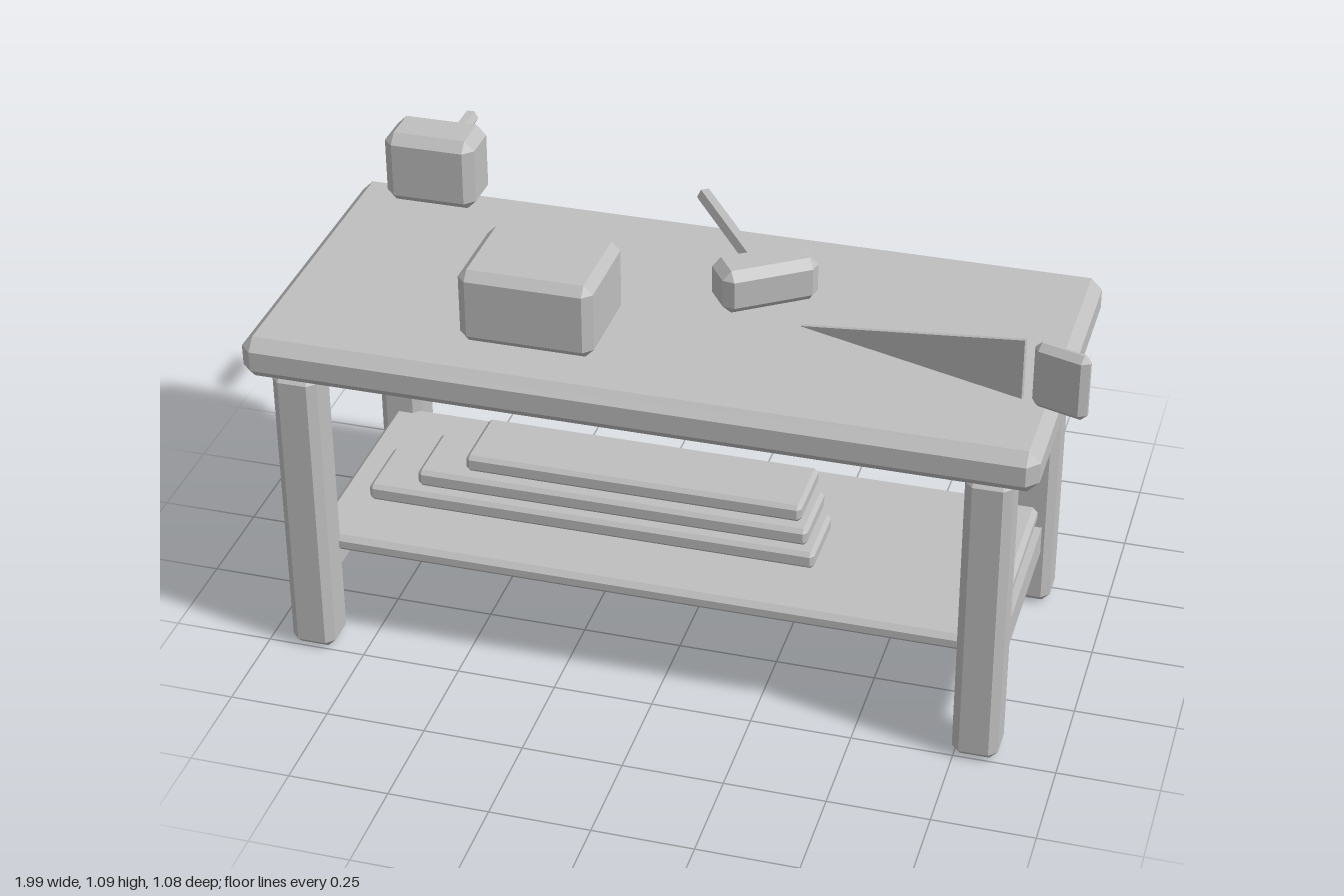
import * as THREE from 'three';
import { ConvexGeometry } from 'three/addons/geometries/ConvexGeometry.js';

const grey = new THREE.MeshStandardMaterial({ color: 0xbfbfbf });
grey.name = 'plainGrey';

function add(parent, name, geometry) {
  const mesh = new THREE.Mesh(geometry, grey);
  mesh.name = name;
  parent.add(mesh);
  return mesh;
}

// Box with chamfered edges and corners, given by its min/max on each axis
function block(parent, name, [x0, x1], [y0, y1], [z0, z1], c) {
  const h = [(x1 - x0) / 2, (y1 - y0) / 2, (z1 - z0) / 2];
  const points = [];
  for (const sx of [-1, 1]) for (const sy of [-1, 1]) for (const sz of [-1, 1])
    for (let axis = 0; axis < 3; axis++) {
      const inset = h.map((v, i) => (i === axis ? v : v - c));
      points.push(new THREE.Vector3(sx * inset[0], sy * inset[1], sz * inset[2]));
    }
  const mesh = add(parent, name, new ConvexGeometry(points));
  mesh.position.set((x0 + x1) / 2, (y0 + y1) / 2, (z0 + z1) / 2);
  return mesh;
}

function plainBox(parent, name, [x0, x1], [y0, y1], [z0, z1]) {
  const mesh = add(parent, name, new THREE.BoxGeometry(x1 - x0, y1 - y0, z1 - z0));
  mesh.position.set((x0 + x1) / 2, (y0 + y1) / 2, (z0 + z1) / 2);
}

// Six-sided rod along z with a flat top
function rod(parent, name, radius, z0, z1) {
  const geometry = new THREE.CylinderGeometry(radius, radius, z1 - z0, 6).toNonIndexed();
  geometry.rotateY(Math.PI / 6).rotateX(Math.PI / 2);
  geometry.computeVertexNormals();
  const mesh = add(parent, name, geometry);
  mesh.position.z = (z0 + z1) / 2;
  return mesh;
}

function subgroup(parent, name, x, y, z, turn = 0) {
  const group = new THREE.Group();
  group.name = name;
  group.position.set(x, y, z);
  group.rotation.y = turn;
  parent.add(group);
  return group;
}

export function createModel() {
  const model = new THREE.Group();
  model.name = 'workbench';

  // Bench
  block(model, 'tabletop', [-1, 0.918], [0.79, 0.897], [-0.323, 0.541], 0.028);
  for (const [side, x] of [['right', -0.885], ['left', 0.8]]) {
    for (const [end, z] of [['Front', 0.448], ['Back', -0.228]])
      block(model, side + end + 'Leg', [x - 0.056, x + 0.056], [0, 0.792], [z - 0.057, z + 0.057], 0.02);
    plainBox(model, side + 'Crossbar', [x - 0.028, x + 0.028], [0.157, 0.233], [-0.2, 0.42]);
  }
  block(model, 'shelf', [-0.9, 0.815], [0.245, 0.29], [-0.2, 0.42], 0.013);

  // Stacked boards on the shelf
  const boards = [[-0.81, 0.34, 0.295, 0.063], [-0.687, 0.316, 0.344, 0.04], [-0.567, 0.294, 0.393, 0.015]];
  for (const [x0, x1, y, z] of boards)
    block(model, 'board', [x0, x1], [y, y + 0.046], [z, z + 0.191], 0.01);

  // Vise: block with a separate bar behind
  block(model, 'viseBlock', [-0.905, -0.668], [0.893, 1.084], [-0.347, -0.203], 0.025);
  rod(model, 'viseBar', 0.02, -0.54, -0.396).position.set(-0.787, 0.987, -0.468);

  // Wooden box
  block(model, 'toolBox', [-0.495, -0.165], [0.896, 1.087], [0.147, 0.41], 0.022);

  // Mallet
  const mallet = subgroup(model, 'mallet', 0.149, 0.953, 0.012, 0.61);
  block(mallet, 'malletHead', [-0.122, 0.122], [-0.057, 0.057], [-0.059, 0.059], 0.022);
  rod(mallet, 'malletHandle', 0.021, -0.437, 0).position.y = 0.002;

  // Saw
  const saw = subgroup(model, 'saw', 0.266, 0.905, 0.126, -0.308);
  const outline = new THREE.Shape();
  outline.moveTo(0, 0);
  outline.lineTo(0.597, 0);
  outline.lineTo(0.597, 0.155);
  outline.closePath();
  const blade = new THREE.ExtrudeGeometry(outline, { depth: 0.01, bevelEnabled: false });
  add(saw, 'sawBlade', blade.translate(0, 0, -0.005));
  block(saw, 'sawHandle', [0.623, 0.763], [-0.006, 0.163], [-0.019, 0.019], 0.016);

  return model;
}
